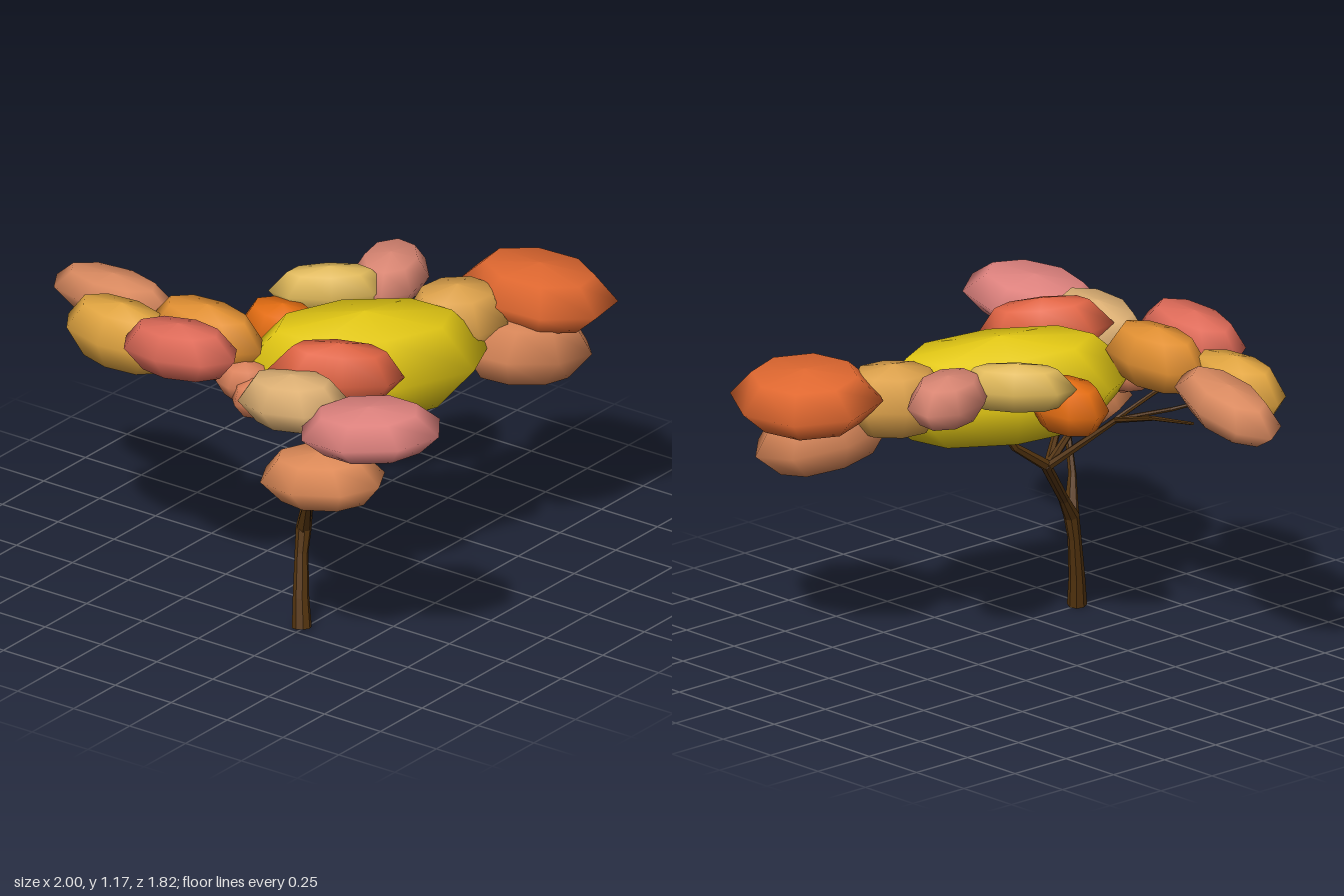
import * as THREE from 'three';

// Eight-sided clump with a sharp rim and flattened top, shared by all foliage
function clumpGeometry() {
  const profile = [[0, -1], [0.69, -0.8], [1, 0], [0.69, 0.8], [0, 1]];
  return new THREE.LatheGeometry(profile.map((p) => new THREE.Vector2(p[0], p[1])), 8);
}

// Tapered limb through points [x, y, z, radius]
function limb(name, points, material, sides) {
  const rings = points.map((p) => new THREE.Vector3(p[0], p[1], p[2]));
  const pos = [], idx = [];
  rings.forEach((c, i) => {
    const dir = rings[Math.min(i + 1, rings.length - 1)].clone()
      .sub(rings[Math.max(i - 1, 0)]).normalize();
    const q = new THREE.Quaternion().setFromUnitVectors(new THREE.Vector3(0, 1, 0), dir);
    for (let s = 0; s < sides; s++) {
      const a = (s / sides) * Math.PI * 2, r = points[i][3];
      const v = new THREE.Vector3(Math.cos(a) * r, 0, Math.sin(a) * r).applyQuaternion(q).add(c);
      pos.push(v.x, v.y, v.z);
    }
  });
  for (let i = 0; i < rings.length - 1; i++) {
    for (let s = 0; s < sides; s++) {
      const a = i * sides + s, b = i * sides + ((s + 1) % sides);
      idx.push(a, a + sides, b, b, a + sides, b + sides);
    }
  }
  // End caps
  const last = (rings.length - 1) * sides;
  for (let s = 1; s < sides - 1; s++) {
    idx.push(0, s, s + 1, last, last + s + 1, last + s);
  }
  const g = new THREE.BufferGeometry();
  g.setAttribute('position', new THREE.Float32BufferAttribute(pos, 3));
  g.setIndex(idx);
  g.computeVertexNormals();
  const mesh = new THREE.Mesh(g, material);
  mesh.name = name;
  return mesh;
}

export function createModel() {
  const tree = new THREE.Group();
  tree.name = 'tree';

  // Trunk, leaning back to the crown fork
  const bark = new THREE.MeshStandardMaterial({ color: 0x54340f, flatShading: true });
  const fork = [0.21, 0.37, 0.4, 0.029];
  const crown = [0.12, 0.63, 0.19, 0.021];
  tree.add(limb('trunk', [
    [0.25, 0.01, 0.465, 0.036], [0.235, 0.12, 0.45, 0.03], [0.215, 0.28, 0.42, 0.025],
    fork, [0.185, 0.45, 0.34, 0.02], crown,
  ], bark, 8));

  // Branches and twigs
  const limbs = new THREE.Group();
  limbs.name = 'branches';
  const thin = [0.12, 0.62, 0.2, 0.017];
  [
    [fork, [0.27, 0.5, 0.46, 0.015], [0.34, 0.66, 0.5, 0.011], [0.42, 0.74, 0.6, 0.007]],
    [crown, [0.14, 0.72, 0.06, 0.016], [0.16, 0.85, -0.03, 0.012]],
    [thin, [-0.05, 0.79, 0.34, 0.01], [-0.14, 0.9, 0.48, 0.009], [-0.17, 0.93, 0.53, 0.006]],
    [thin, [-0.1, 0.82, 0.33, 0.011], [-0.33, 0.89, 0.3, 0.009], [-0.56, 0.93, 0.28, 0.006]],
    [[-0.12, 0.83, 0.33, 0.009], [-0.3, 0.89, 0.42, 0.008], [-0.45, 0.95, 0.52, 0.005]],
    [thin, [0.1, 0.8, 0.36, 0.011], [0.09, 0.9, 0.5, 0.007]],
    [thin, [0.22, 0.76, 0.36, 0.012], [0.31, 0.87, 0.5, 0.011], [0.5, 0.88, 0.6, 0.008],
      [0.7, 0.89, 0.65, 0.006]],
    [[0.31, 0.87, 0.5, 0.01], [0.35, 0.88, 0.65, 0.006]],
    [[0.55, 0.88, 0.61, 0.008], [0.68, 0.92, 0.56, 0.005]],
  ].forEach((pts, i) => limbs.add(limb(`branch${i + 1}`, pts, bark, 6)));
  tree.add(limbs);

  // Leaf clumps: centre, half sizes, turn about y, colour, lengthwise tilt, sideways tilt
  const foliage = new THREE.Group();
  foliage.name = 'foliage';
  const ball = clumpGeometry();
  [
    [0.235, 0.92, 0.085, 0.5, 0.195, 0.285, 1.05, 0xe2c714, -0.06],
    [0.475, 0.99, -0.65, 0.32, 0.11, 0.265, -0.22, 0xe06830, 0, -0.1],
    [0.51, 0.82, -0.535, 0.28, 0.125, 0.19, 1.3, 0xd88658, -0.18],
    [0.33, 0.95, -0.36, 0.2, 0.135, 0.18, 1.1, 0xdba04a],
    [0.02, 1.03, -0.38, 0.22, 0.09, 0.14, -1.1, 0xd98673],
    [-0.07, 1.04, -0.13, 0.22, 0.09, 0.1, 0.72, 0xdfb85a],
    [-0.13, 0.94, 0.07, 0.185, 0.1, 0.125, -0.15, 0xe26c12],
    [-0.69, 1.015, 0.33, 0.325, 0.085, 0.13, -0.24, 0xda8a60, 0.1],
    [-0.5, 0.99, 0.54, 0.26, 0.125, 0.13, -0.1, 0xe0a440],
    [-0.18, 1.05, 0.455, 0.26, 0.115, 0.13, -0.1, 0xe08f32],
    [-0.145, 1.075, 0.665, 0.26, 0.1, 0.14, -0.08, 0xdd6a58, 0.1],
    [0.02, 0.94, 0.5, 0.11, 0.07, 0.1, 0, 0xd8805a],
    [0.1, 0.91, 0.54, 0.09, 0.07, 0.1, 0.4, 0xdc8058, 0.2],
    [0.37, 1.03, 0.42, 0.25, 0.12, 0.125, 0.76, 0xe06444, -0.12],
    [0.345, 1.0, 0.645, 0.24, 0.1, 0.16, -0.15, 0xddb074, 0.12],
    [0.725, 1.005, 0.69, 0.28, 0.09, 0.225, 0.15, 0xde827e, 0.11],
    [0.48, 0.735, 0.65, 0.255, 0.1, 0.19, 0, 0xdd8a58, 0.11],
  ].forEach(([x, y, z, a, b, c, turn, color, tilt = 0, roll = 0], i) => {
    const clump = new THREE.Mesh(ball, new THREE.MeshStandardMaterial({ color }));
    clump.name = `leafClump${i + 1}`;
    clump.position.set(x, y, z);
    clump.scale.set(a, b, c);
    clump.rotation.set(roll, turn, tilt, 'YXZ');
    foliage.add(clump);
  });
  tree.add(foliage);
  return tree;
}
